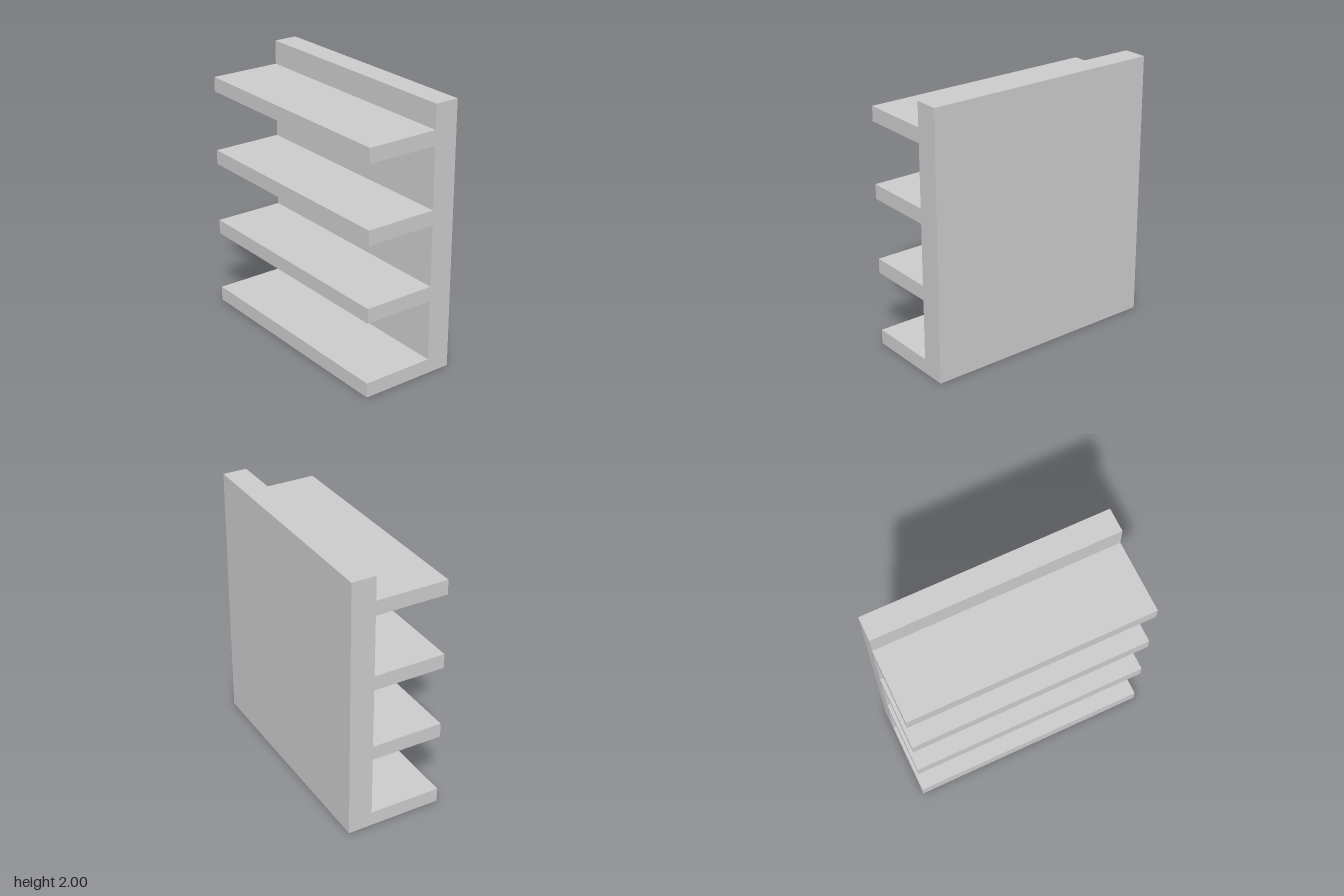
import * as THREE from 'three';

const WIDTH = 1.82, HEIGHT = 2;
const BACK = -0.364, BOARD_FRONT = -0.182, FRONT = 0.364;
const THICK = 0.11, SPACING = 0.57, RIM = 0.055;

export function createModel() {
  const group = new THREE.Group();
  const material = new THREE.MeshStandardMaterial({ color: 0xcccccc, flatShading: true });
  const depth = FRONT - BOARD_FRONT;
  const midZ = (FRONT + BOARD_FRONT) / 2;

  const add = (name, geometry, y, z) => {
    const mesh = new THREE.Mesh(geometry, material);
    mesh.name = name;
    mesh.position.set(0, y, z);
    group.add(mesh);
  };
  const rectangle = (PathType, w, h) => new PathType([
    new THREE.Vector2(-w / 2, -h / 2), new THREE.Vector2(w / 2, -h / 2),
    new THREE.Vector2(w / 2, h / 2), new THREE.Vector2(-w / 2, h / 2),
  ]);

  // Upright back board
  add('backBoard', new THREE.BoxGeometry(WIDTH, HEIGHT, BOARD_FRONT - BACK),
    HEIGHT / 2, (BACK + BOARD_FRONT) / 2);

  // Solid bottom shelf
  add('bottomShelf', new THREE.BoxGeometry(WIDTH, THICK, depth), THICK / 2, midZ);

  // Rim that leaves a shallow pocket under each upper shelf
  const outline = rectangle(THREE.Shape, WIDTH, depth);
  outline.holes.push(rectangle(THREE.Path, WIDTH - 2 * RIM, depth - 2 * RIM));
  const rim = new THREE.ExtrudeGeometry(outline, { depth: THICK / 2, bevelEnabled: false });
  rim.rotateX(-Math.PI / 2);
  const slab = new THREE.BoxGeometry(WIDTH, THICK / 2, depth);

  // Three upper shelves
  for (let i = 1; i <= 3; i++) {
    add('shelfRim' + i, rim, i * SPACING, midZ);
    add('shelfTop' + i, slab, i * SPACING + THICK * 0.75, midZ);
  }
  return group;
}
